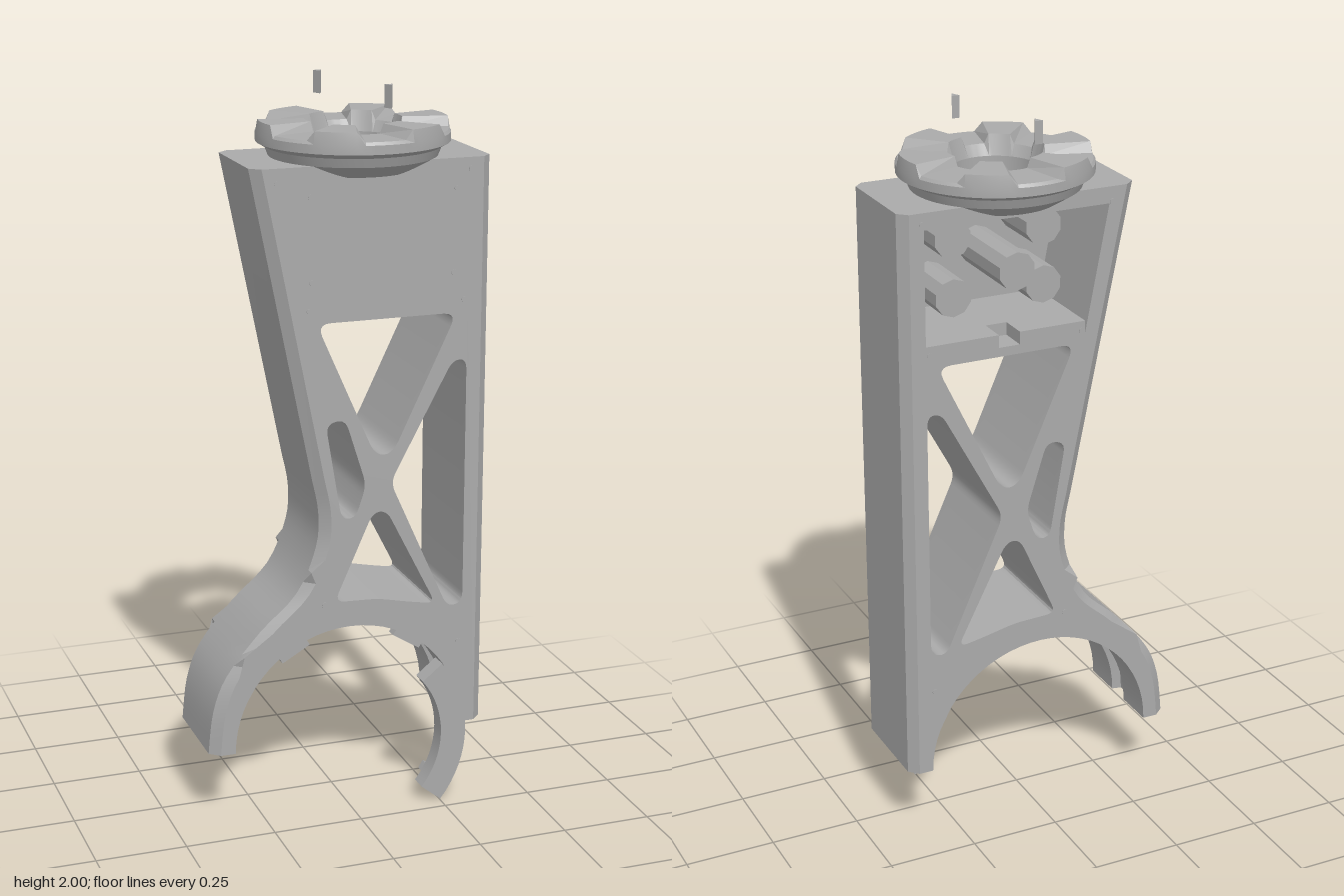
import * as THREE from 'three';
import { toCreasedNormals } from 'three/addons/utils/BufferGeometryUtils.js';

const V = (x, y) => new THREE.Vector2(x, y);
const ARCH_Y = 0.2, ARCH_R = 0.33, RING_X = 0.06;

export function createModel() {
  const model = new THREE.Group();
  const grey = new THREE.MeshStandardMaterial({ color: 0xaaaaaa });
  grey.name = 'plain grey';

  const add = (name, geo, x = 0, y = 0, z = 0, parent = model) => {
    const mesh = new THREE.Mesh(geo, grey);
    mesh.name = name;
    mesh.position.set(x, y, z);
    parent.add(mesh);
    return mesh;
  };
  const group = (name) => {
    const g = new THREE.Group();
    g.name = name;
    model.add(g);
    return g;
  };
  const arc = (r, from, to, n) => Array.from({ length: n + 1 }, (_, i) => {
    const a = THREE.MathUtils.degToRad(from + (to - from) * i / n);
    return V(r * Math.cos(a), ARCH_Y + r * Math.sin(a));
  });
  // Polygon with softened corners
  const rounded = (pts, r) => {
    const path = new THREE.Path();
    pts.forEach((p, i) => {
      const before = pts[(i + pts.length - 1) % pts.length], after = pts[(i + 1) % pts.length];
      const step = (q) => p.clone().add(q.clone().sub(p).setLength(Math.min(r, p.distanceTo(q) / 2)));
      const a = step(before), b = step(after);
      if (i) path.lineTo(a.x, a.y); else path.moveTo(a.x, a.y);
      path.quadraticCurveTo(p.x, p.y, b.x, b.y);
    });
    path.closePath();
    return path;
  };

  // Frame outline: arch below, open pocket at the top, flared left edge
  const flare = new THREE.SplineCurve([
    V(-0.1, 0.95), V(-0.083, 0.86), V(-0.09, 0.76), V(-0.145, 0.635), V(-0.25, 0.535),
    V(-0.345, 0.42), V(-0.385, 0.32), V(-0.4, 0.2),
  ]).getPoints(28);
  const leftEdge = [V(-0.27, 1.8), ...flare];
  const outline = new THREE.Shape([
    ...arc(ARCH_R, 180, 0, 32),
    V(0.395, 0.2), V(0.395, 1.8),
    V(0.33, 1.8), V(0.33, 1.41), V(-0.125, 1.41), V(-0.2, 1.8),
    ...leftEdge,
  ]);
  // Truss openings
  outline.holes = [
    rounded([V(-0.095, 1.385), V(0.3, 1.385), V(0.12, 1.01), V(0.07, 1.01)], 0.04),
    rounded([V(0.33, 1.255), V(0.29, 1.255), V(0.115, 0.93), V(0.285, 0.55), V(0.33, 0.56)], 0.03),
    rounded([V(-0.07, 1.11), V(-0.015, 1.12), V(0.045, 0.93), V(0.015, 0.84), V(-0.025, 0.84)], 0.03),
    rounded([V(0.065, 0.85), V(0.105, 0.85), V(0.25, 0.565), V(0.17, 0.58), V(0.08, 0.6), V(-0.045, 0.605)], 0.03),
  ];
  // Uneven layers through the depth give chamfered sides and a grooved arch
  const layers = [0, 0.025, 0.12, 0.125, 0.185, 0.19, 0.285, 0.31];
  const key = (x, y) => x.toFixed(3) + ',' + y.toFixed(3);
  const leftKeys = new Set(leftEdge.map((p) => key(p.x, p.y)));
  const frame = new THREE.ExtrudeGeometry(outline, { depth: 7, steps: 7, bevelEnabled: false, curveSegments: 5 });
  const pos = frame.attributes.position;
  for (let i = 0; i < pos.count; i++) {
    let x = pos.getX(i), y = pos.getY(i);
    const k = Math.round(pos.getZ(i));
    if (k === 0 || k === 7) {
      if (x > 0.39) x -= 0.025;
      else if (leftKeys.has(key(x, y))) x += 0.028;
    }
    if ((k === 3 || k === 4) && Math.abs(Math.hypot(x, y - ARCH_Y) - ARCH_R) < 0.002) {
      x *= 1.08;
      y = ARCH_Y + (y - ARCH_Y) * 1.08;
    }
    pos.setXYZ(i, x, y, layers[k] - 0.155);
  }
  add('frame', toCreasedNormals(frame, 0.4));

  // Front panel closing the pocket
  const panel = new THREE.Shape([V(-0.125, 1.41), V(0.33, 1.41), V(0.33, 1.8), V(-0.2, 1.8)]);
  add('frontPanel', new THREE.ExtrudeGeometry(panel, { depth: 0.03, bevelEnabled: false }), 0, 0, 0.125);

  // Top plate with a round opening beneath the collar
  const lid = new THREE.Shape([V(-0.2, -0.125), V(0.33, -0.125), V(0.33, 0.155), V(-0.2, 0.155)]);
  lid.holes.push(new THREE.Path().absarc(RING_X, 0, 0.12, 0, Math.PI * 2));
  const lidGeo = new THREE.ExtrudeGeometry(lid, { depth: 0.045, bevelEnabled: false, curveSegments: 8 });
  lidGeo.rotateX(-Math.PI / 2);
  add('topPlate', lidGeo, 0, 1.755, 0);

  // Notched shelf on the pocket floor
  const shelf = new THREE.Shape([
    V(-0.125, 0.155), V(-0.125, -0.125), V(0.33, -0.125), V(0.33, 0.155),
    V(0.125, 0.155), V(0.125, 0.075), V(0.065, 0.075), V(0.065, 0.155),
  ]);
  const shelfGeo = new THREE.ExtrudeGeometry(shelf, { depth: 0.035, bevelEnabled: false });
  shelfGeo.rotateX(-Math.PI / 2);
  add('shelf', shelfGeo, 0, 1.41, 0);

  // Drums inside the pocket
  const drums = group('drums');
  const drum = (x, y, r, back) => {
    const geo = new THREE.CylinderGeometry(r, r, 0.13 - back, 10);
    geo.rotateX(Math.PI / 2);
    add('drum', toCreasedNormals(geo, 0.4), x, y, (0.13 + back) / 2, drums);
  };
  for (const x of [-0.06, 0.2]) for (const y of [1.52, 1.68]) drum(x, y, 0.052, -0.04);
  drum(0.06, 1.6, 0.052, -0.13);

  // Toothed collar
  const profile = [
    V(0.115, 1.76), V(0.17, 1.765), V(0.225, 1.8), V(0.235, 1.825), V(0.258, 1.838),
    V(0.258, 1.862), V(0.252, 1.895), V(0.13, 1.895), V(0.115, 1.84), V(0.115, 1.76),
  ];
  const collar = new THREE.LatheGeometry(profile, 72, THREE.MathUtils.degToRad(2.5));
  const cp = collar.attributes.position;
  for (let i = 0; i < cp.count; i++) {
    if (cp.getY(i) < 1.89) continue;
    const a = THREE.MathUtils.radToDeg(Math.atan2(cp.getZ(i), cp.getX(i)));
    const off = Math.abs(((a + 390) % 60) - 30);
    if (off > 15) cp.setY(i, 1.87);
  }
  add('collar', toCreasedNormals(collar, 0.25), RING_X, 0, 0);

  // Loose keys above the collar
  for (const s of [-1, 1]) {
    const keyGeo = new THREE.CylinderGeometry(0.016, 0.016, 0.06, 3);
    keyGeo.scale(0.8, 1, 1);
    add('key', toCreasedNormals(keyGeo, 0.3), RING_X + s * 0.042, 1.97, s * 0.158);
  }

  // Locating pins under the feet
  for (const s of [-1, 1]) add('footPin', new THREE.CylinderGeometry(0.012, 0.012, 0.03, 12), s * 0.363, 0.193, 0);

  // Screw heads on both faces
  const screws = group('screws');
  const spots = [[-0.2, 1.76], [0.335, 1.77], [-0.11, 1.72], [0.295, 1.72], [-0.107, 1.495], [0.29, 1.495],
    [-0.115, 1.42], [0.32, 1.42], [-0.073, 0.6], [0.32, 0.445]];
  for (const [x, y] of spots) for (const z of [-0.155, 0.155]) {
    const geo = new THREE.CylinderGeometry(0.008, 0.008, 0.004, 8);
    geo.rotateX(Math.PI / 2);
    if (z > 0 || y < 1.45 || y > 1.75) add('screw', geo, x, y, z, screws);
  }

  // Small stops inside the arch
  for (const deg of [58, 120]) {
    const a = THREE.MathUtils.degToRad(deg);
    const stop = add('archStop', new THREE.BoxGeometry(0.03, 0.09, 0.03),
      0.325 * Math.cos(a), ARCH_Y + 0.325 * Math.sin(a), 0.139);
    stop.rotation.z = a;
  }

  // Loose curved clamp with pegs on its inner face
  const clamp = group('clamp');
  const clampShape = new THREE.Shape([...arc(0.325, -39, 39, 16), ...arc(0.252, 39, -39, 16)]);
  const clampGeo = new THREE.ExtrudeGeometry(clampShape, { depth: 0.05, bevelEnabled: false });
  add('clampArc', toCreasedNormals(clampGeo, 0.4), 0, 0, 0.155, clamp);
  for (const [deg, back] of [[-31, 0.1], [-24, 0.135], [-14, 0.125], [-4, 0.14], [14, 0.13], [30, 0.13]]) {
    const a = THREE.MathUtils.degToRad(deg);
    const peg = add('clampPeg', new THREE.BoxGeometry(0.035, 0.025, 0.16 - back),
      0.29 * Math.cos(a), ARCH_Y + 0.29 * Math.sin(a), (0.16 + back) / 2, clamp);
    peg.rotation.z = a;
  }
  return model;
}
